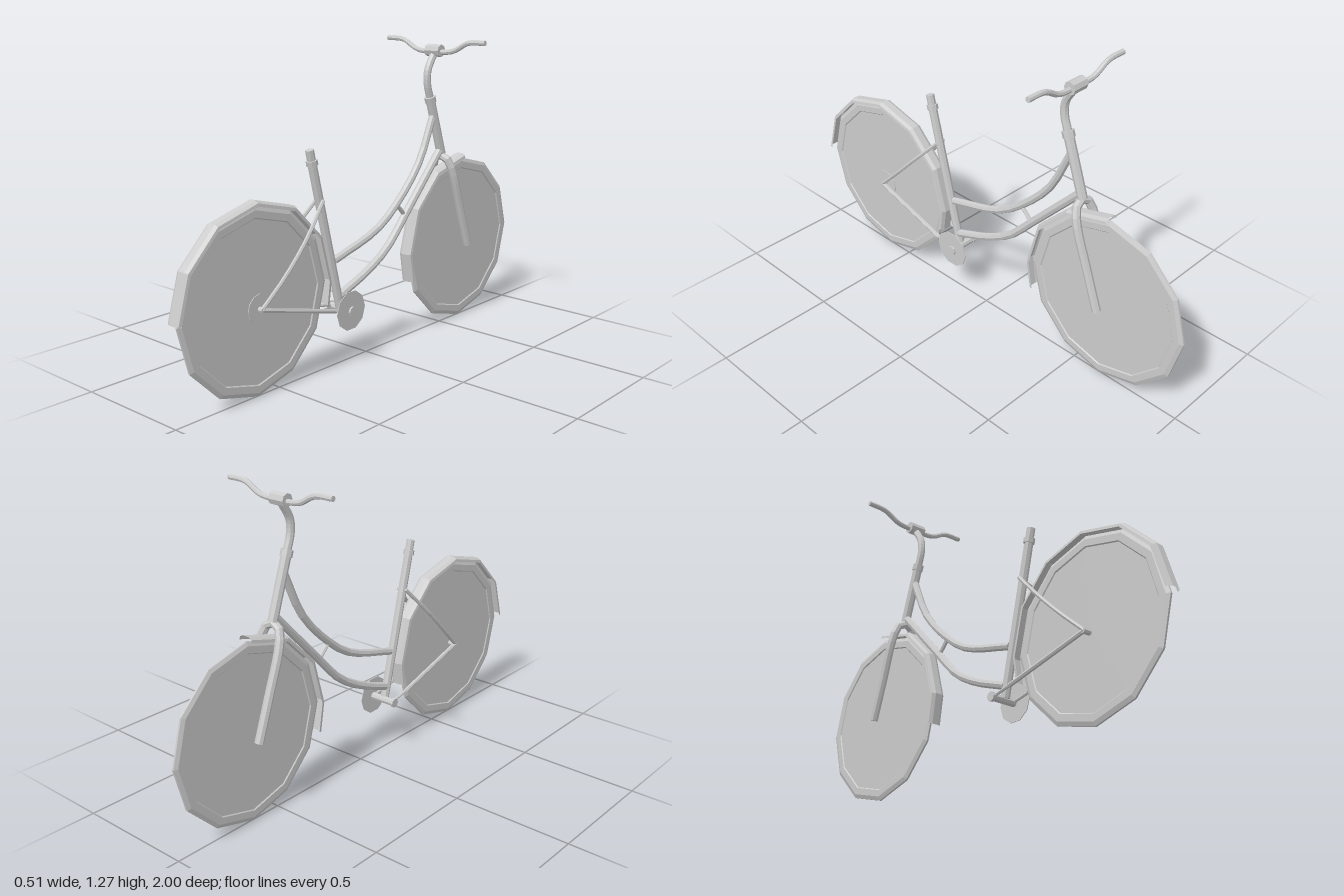
import * as THREE from 'three';
import { mergeGeometries } from 'three/addons/utils/BufferGeometryUtils.js';

const V = (x, y, z) => new THREE.Vector3(x, y, z);

export function createModel() {
  const bike = new THREE.Group();
  bike.name = 'bicycle';
  const grey = new THREE.MeshStandardMaterial({ color: 0xcccccc, flatShading: true, side: THREE.DoubleSide });
  grey.name = 'light grey';

  function add(name, geometry) {
    const mesh = new THREE.Mesh(geometry, grey);
    mesh.name = name;
    bike.add(mesh);
    return mesh;
  }

  // Capped tube through a few points
  function tube(name, points, radius, sides = 8, steps = 12) {
    const straight = points.length === 2;
    const curve = straight ? new THREE.LineCurve3(...points) : new THREE.CatmullRomCurve3(points);
    const parts = [new THREE.TubeGeometry(curve, straight ? 1 : steps, radius, sides)];
    for (const t of [0, 1]) {
      const cap = new THREE.CircleGeometry(radius, sides);
      const dir = curve.getTangent(t).multiplyScalar(t ? 1 : -1);
      cap.applyQuaternion(new THREE.Quaternion().setFromUnitVectors(V(0, 0, 1), dir));
      const p = curve.getPoint(t);
      cap.translate(p.x, p.y, p.z);
      parts.push(cap);
    }
    return add(name, mergeGeometries(parts));
  }

  // Cylinder lying along x
  function axle(name, radius, length, sides, x, y, z) {
    const g = new THREE.CylinderGeometry(radius, radius, length, sides);
    g.rotateZ(Math.PI / 2);
    g.translate(x, y, z);
    return add(name, g);
  }

  // Twelve-sided disc wheel with a raised tyre
  function wheel(name, z) {
    const half = [[0, 0.007], [0.318, 0.007], [0.322, 0.011], [0.35, 0.011], [0.366, 0.004]];
    const profile = [
      ...half.map(([r, h]) => new THREE.Vector2(r, -h)),
      ...half.map(([r, h]) => new THREE.Vector2(r, h)).reverse(),
    ];
    const g = new THREE.LatheGeometry(profile, 12);
    g.rotateZ(Math.PI / 2);
    add(name, g).position.set(0, 0.369, z);
  }

  // Channel-shaped mudguard swept through angles, measured from +z upwards
  function mudguard(name, z, angles) {
    const section = [[-0.031, 0.366], [-0.029, 0.378], [-0.015, 0.386], [0.015, 0.386], [0.029, 0.378], [0.031, 0.366]];
    const n = section.length, pos = [], index = [];
    angles.forEach((deg, i) => {
      const a = THREE.MathUtils.degToRad(deg);
      for (const [x, r] of section) pos.push(x, r * Math.sin(a), r * Math.cos(a));
      if (i === 0) return;
      for (let j = 0; j < n - 1; j++) {
        const a0 = (i - 1) * n + j, b0 = i * n + j;
        index.push(a0, a0 + 1, b0, a0 + 1, b0 + 1, b0);
      }
    });
    const g = new THREE.BufferGeometry();
    g.setAttribute('position', new THREE.Float32BufferAttribute(pos, 3));
    g.setIndex(index);
    g.computeVertexNormals();
    add(name, g).position.set(0, 0.369, z);
  }

  // Wheels and mudguards
  wheel('rearWheel', 0.614);
  wheel('frontWheel', -0.632);
  mudguard('rearMudguard', 0.614, [2, 30, 60, 90, 120, 150, 180, 195]);
  mudguard('frontMudguard', -0.632, [-19, 0, 30, 60, 90]);

  // Frame tubes
  tube('seatTube', [V(0, 0.235, 0.158), V(0, 0.83, 0.305)], 0.018);
  tube('seatPost', [V(0, 0.83, 0.305), V(0, 0.897, 0.321)], 0.017);
  tube('seatCollar', [V(0, 0.835, 0.306), V(0, 0.856, 0.311)], 0.023);
  tube('topTube', [V(0, 0.437, 0.19), V(0, 0.515, -0.07), V(0, 0.61, -0.206), V(0, 0.753, -0.34), V(0, 0.94, -0.43)], 0.016);
  tube('downTube', [V(0, 0.285, 0.16), V(0, 0.355, -0.02), V(0, 0.426, -0.137), V(0, 0.555, -0.262), V(0, 0.79, -0.485)], 0.017);
  tube('frameBrace', [V(0, 0.59, -0.2), V(0, 0.54, -0.25)], 0.009, 6);
  tube('headTube', [V(0, 1.02, -0.411), V(0, 0.77, -0.495)], 0.02);
  tube('headCollar', [V(0, 1.0, -0.418), V(0, 1.026, -0.409)], 0.024);

  // Rear stays, mirrored
  for (const s of [-1, 1]) {
    tube('seatStay', [V(s * 0.018, 0.695, 0.268), V(s * 0.046, 0.57, 0.39), V(s * 0.048, 0.45, 0.508), V(s * 0.036, 0.348, 0.615)], 0.008, 6, 8);
    tube('chainStay', [V(s * 0.036, 0.348, 0.615), V(s * 0.05, 0.25, 0.235)], 0.009, 6);
    tube('chainStayEnd', [V(s * 0.05, 0.25, 0.235), V(s * 0.05, 0.235, 0.16)], 0.006, 6);
  }

  // Fork: one bent tube over the front wheel
  tube('fork', [
    V(-0.051, 0.345, -0.633), V(-0.051, 0.52, -0.572), V(-0.05, 0.69, -0.514), V(-0.034, 0.748, -0.496), V(0, 0.765, -0.49),
    V(0.034, 0.748, -0.496), V(0.05, 0.69, -0.514), V(0.051, 0.52, -0.572), V(0.051, 0.345, -0.633),
  ], 0.018, 8, 24);

  // Stem, clamp and handlebar
  tube('stem', [V(0, 1.02, -0.411), V(0, 1.085, -0.391), V(0, 1.14, -0.394), V(0, 1.21, -0.436)], 0.016);
  axle('handlebarClamp', 0.026, 0.072, 8, 0, 1.219, -0.438);
  tube('handlebar', [
    V(-0.255, 1.261, -0.441), V(-0.17, 1.257, -0.441), V(-0.095, 1.22, -0.44), V(0, 1.214, -0.438),
    V(0.095, 1.22, -0.44), V(0.17, 1.257, -0.441), V(0.255, 1.261, -0.441),
  ], 0.011, 8, 24);

  // Drive parts
  axle('bottomBracket', 0.016, 0.13, 8, 0, 0.23, 0.148);
  for (const s of [-1, 1]) axle('bracketFlange', 0.02, 0.01, 8, s * 0.06, 0.23, 0.148);
  axle('chainring', 0.082, 0.003, 10, 0.055, 0.233, 0.152);
  axle('rearAxle', 0.011, 0.084, 8, 0, 0.348, 0.612);
  axle('rearSprocket', 0.06, 0.003, 12, 0.02, 0.348, 0.608);

  return bike;
}
